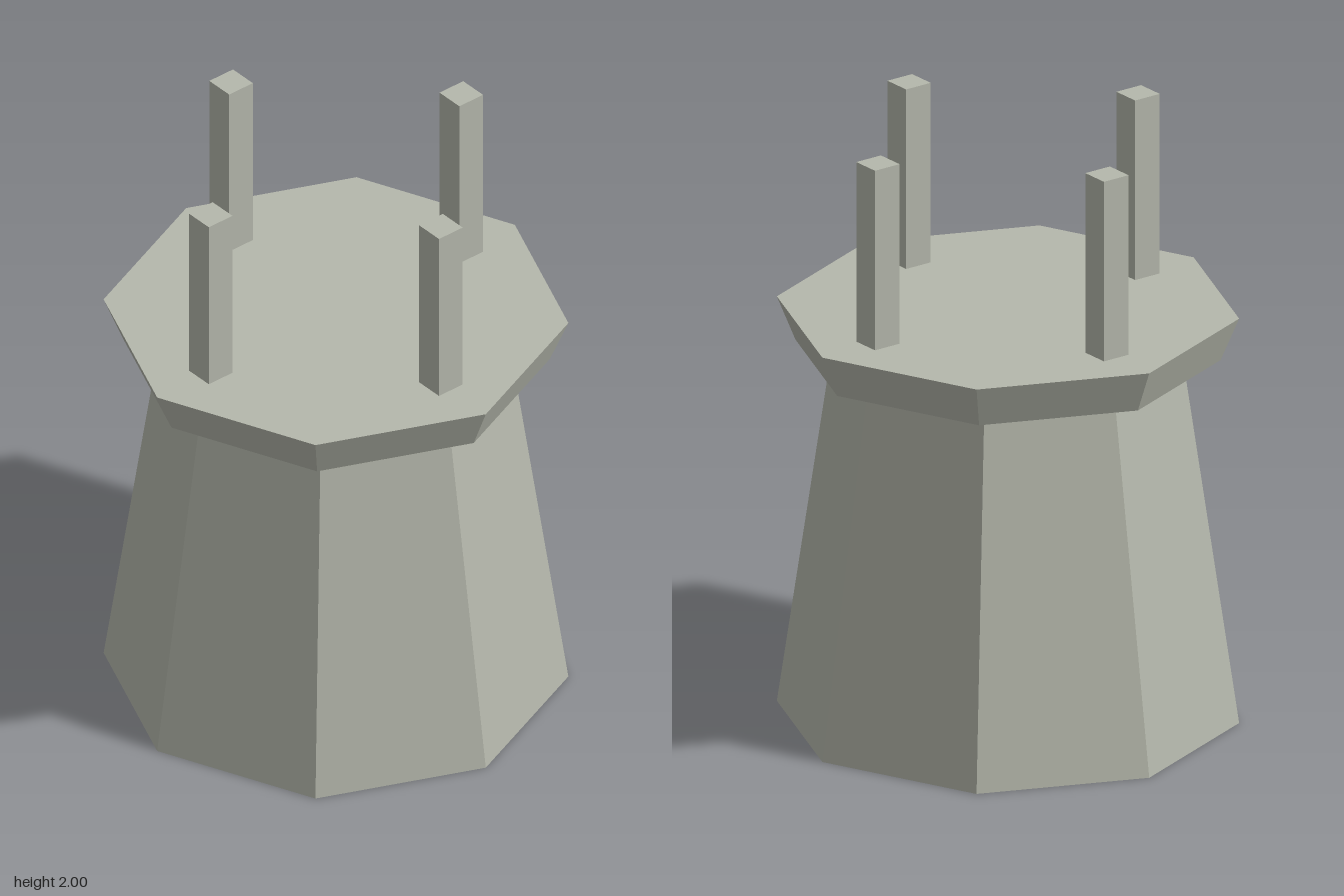
import * as THREE from 'three';

export function createModel() {
  const model = new THREE.Group();
  model.name = 'tower';
  const stone = new THREE.MeshStandardMaterial({ color: 0xb5b8ac });
  stone.name = 'stone grey';

  // Flat-sided prism or frustum with a corner on the z axis
  function addPrism(name, sides, topRadius, bottomRadius, y0, y1, x = 0, z = 0) {
    const geometry = new THREE.CylinderGeometry(topRadius, bottomRadius, y1 - y0, sides).toNonIndexed();
    geometry.computeVertexNormals();
    const mesh = new THREE.Mesh(geometry, stone);
    mesh.name = name;
    mesh.position.set(x, (y0 + y1) / 2, z);
    model.add(mesh);
  }

  // Tapered octagonal body and flared platform
  addPrism('towerBody', 8, 0.565, 0.747, 0, 1.24);
  addPrism('platform', 8, 0.747, 0.687, 1.24, 1.385);

  // Four square posts, turned 45 degrees
  for (const [sideName, x] of [['left', 0.37], ['right', -0.37]]) {
    for (const [endName, z] of [['Front', 0.37], ['Back', -0.37]]) {
      addPrism(`${sideName}${endName}Post`, 4, 0.07, 0.07, 1.385, 2, x, z);
    }
  }
  return model;
}
